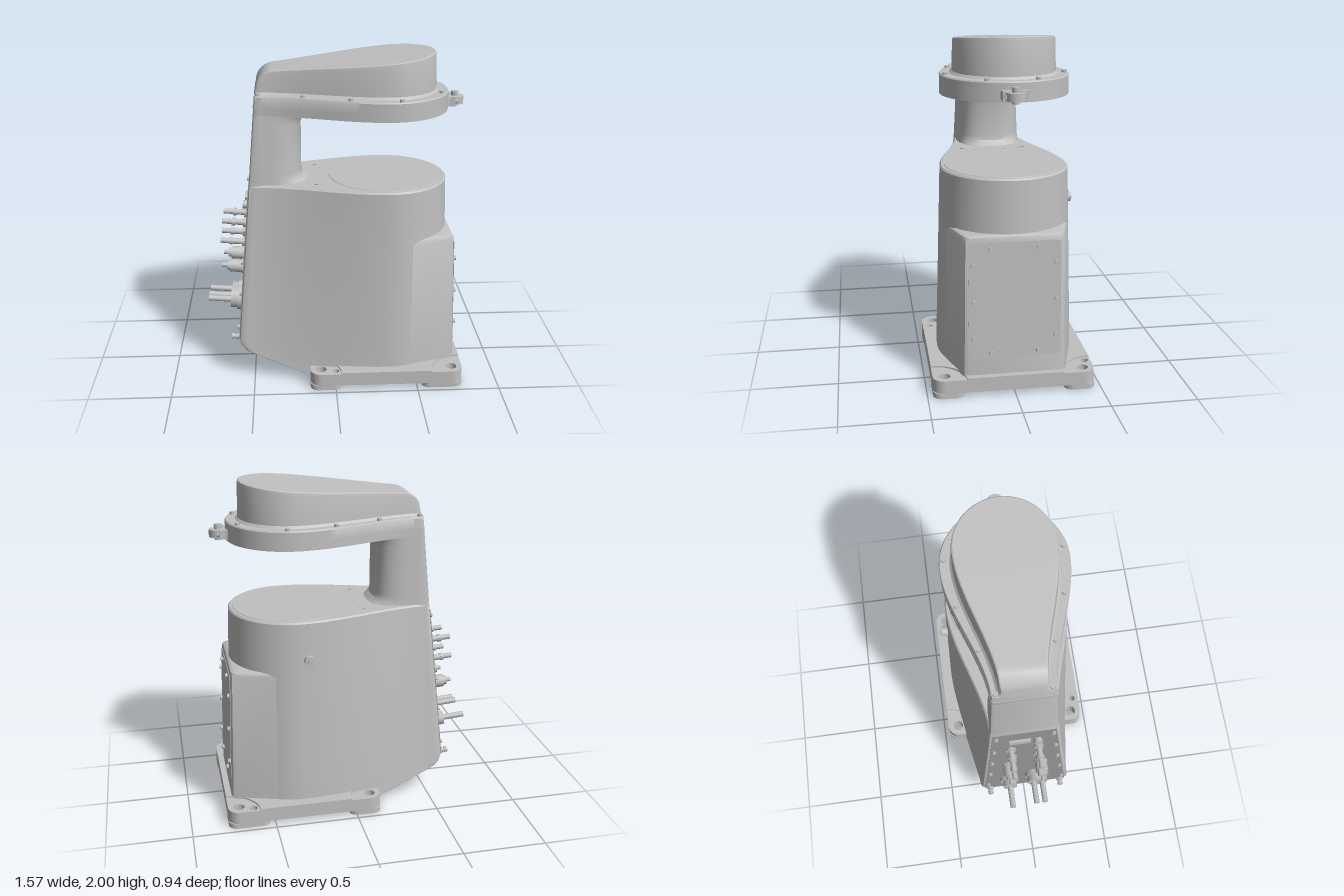
import * as THREE from 'three';
import { toCreasedNormals } from 'three/addons/utils/BufferGeometryUtils.js';

const grey = new THREE.MeshStandardMaterial({ color: 0xc0c0c0 });
grey.name = 'body grey';
const darkGrey = new THREE.MeshStandardMaterial({ color: 0x969696 });
darkGrey.name = 'panel grey';

const CX = 0.32; // axis of the round front end
const backX = y => -0.46 - (1.77 - y) * 0.0855; // leaning back plane
const backW = y => y > 1.24 ? 0.18 + (1.77 - y) * 0.045 : 0.204 + (1.24 - y) * 0.087; // its half width
const bodyR = y => 0.408 - 0.03 * y;

function add(parent, name, geometry, x = 0, y = 0, z = 0, material = grey) {
  const m = new THREE.Mesh(geometry, material);
  m.name = name;
  m.position.set(x, y, z);
  parent.add(m);
  return m;
}

// Half teardrop: narrow tail at the back, smooth flare, round front
function teardrop(xa, xv, w, R) {
  const width = x => {
    const t = THREE.MathUtils.clamp((x - xv) / (CX - xv), 0, 1);
    return w + (R - w) * t * t * (3 - 2 * t);
  };
  const h = width(xa), half = [[xa, h - 0.02], [xa + 0.006, h - 0.006]];
  for (let i = 0; i <= 32; i++) {
    const x = xa + 0.02 + (CX - xa - 0.02) * i / 32;
    half.push([x, width(x)]);
  }
  for (let i = 1; i <= 28; i++) {
    const a = Math.PI / 2 * (1 - i / 28);
    half.push([CX + R * Math.cos(a), R * Math.sin(a)]);
  }
  return half;
}
const mirrored = half => [...half, ...half.slice(0, -1).reverse().map(([x, z]) => [x, -z])];

// Skin mirrored half sections, listed bottom to top; y is a number or a function of x
function loft(rows, crease = 0.6) {
  const pos = [], idx = [], m = rows[0].half.length, n = 2 * m - 1;
  for (const { half, y } of rows) {
    for (const [x, z] of mirrored(half)) pos.push(x, typeof y === 'function' ? y(x) : y, z);
  }
  for (let k = 0; k < rows.length - 1; k++) {
    for (let i = 0; i < n; i++) {
      const a = k * n + i, b = k * n + (i + 1) % n;
      idx.push(a, b, b + n, a, b + n, a + n);
    }
  }
  const top = (rows.length - 1) * n;
  for (let i = 0; i < m - 1; i++) {
    const j = n - 1 - i;
    idx.push(top + i, top + j - 1, top + j, i, j, j - 1);
    if (i + 1 < j - 1) idx.push(top + i, top + i + 1, top + j - 1, i, j - 1, i + 1);
  }
  const g = new THREE.BufferGeometry();
  g.setAttribute('position', new THREE.Float32BufferAttribute(pos, 3));
  g.setIndex(idx);
  return toCreasedNormals(g, crease);
}

// Flat shape in x/z, extruded upwards from its local y = 0
function slab(shape, depth) {
  return new THREE.ExtrudeGeometry(shape, { depth, bevelEnabled: false, curveSegments: 16 }).rotateX(-Math.PI / 2);
}
const hole = (x, z, r) => new THREE.Path().absarc(x, -z, r, 0, Math.PI * 2, true);
function roundRect(x0, x1, y0, y1, r) {
  const s = new THREE.Shape();
  s.absarc(x1 - r, y1 - r, r, 0, Math.PI / 2);
  s.absarc(x0 + r, y1 - r, r, Math.PI / 2, Math.PI);
  s.absarc(x0 + r, y0 + r, r, Math.PI, Math.PI * 1.5);
  s.absarc(x1 - r, y0 + r, r, Math.PI * 1.5, Math.PI * 2);
  return s;
}
const screwGeo = new THREE.CylinderGeometry(0.015, 0.016, 0.02, 6);

function addBase(root) {
  const base = new THREE.Group();
  base.name = 'base';
  const boltHoles = [[-0.09, -0.4], [-0.09, 0.4], [0.715, -0.4], [0.715, 0.4]];
  const small = [hole(0, 0.425, 0.02), hole(0.63, -0.43, 0.025)];
  const plate = roundRect(-0.155, 0.78, -0.468, 0.468, 0.07);
  plate.holes.push(...boltHoles.map(([x, z]) => hole(x, z, 0.033)), ...small);
  add(base, 'basePlate', slab(plate, 0.077), 0, 0.03, 0);
  // Raised centre, scooped out around the bolt corners
  const raised = new THREE.Shape(), q = Math.PI / 2;
  [[0.78, 0.468, 3], [-0.155, 0.468, 4], [-0.155, -0.468, 1], [0.78, -0.468, 2]].forEach(([x, y, k]) =>
    raised.absarc(x, y, 0.19, k * q, (k - 1) * q, true));
  add(base, 'raisedCentre', slab(raised, 0.009), 0, 0.107, 0);
  for (const [x, z] of boltHoles) {
    const [x0, x1] = x < 0 ? [-0.155, 0.04] : [0.53, 0.78];
    const [y0, y1] = z < 0 ? [0.29, 0.468] : [-0.468, -0.29];
    const foot = roundRect(x0, x1, y0, y1, 0.05);
    foot.holes.push(hole(x, z, 0.033));
    if (x < 0 && z > 0) foot.holes.push(small[0]);
    if (x > 0 && z < 0) foot.holes.push(small[1]);
    add(base, 'foot', slab(foot, 0.03));
  }
  add(base, 'bottomCover', new THREE.CylinderGeometry(0.41, 0.41, 0.008, 64), 0.28, 0.028, 0);
  for (let i = 0; i < 8; i++) {
    const t = (i + 0.5) * Math.PI / 4;
    add(base, 'bottomScrew', screwGeo, 0.28 + 0.385 * Math.cos(t), 0.02, 0.385 * Math.sin(t));
  }
  root.add(base);
}

function addBody(root) {
  // Tapered housing with an undercut tail
  const levels = [[0.04, -0.17], [0.17, -0.51], [0.19, -0.55], [0.22, -0.577], [0.26], [0.6], [0.92], [1.23], [1.24]];
  add(root, 'housing', loft(levels.map(([y, xa = backX(y)]) => {
    const inset = y === 1.24 ? 0.008 : 0;
    return { y, half: teardrop(xa, backX(y), backW(y) - inset, bodyR(y) - inset) };
  })));
  // Flat-faced front box, its sides tangent to the round housing
  add(root, 'frontBox', loft([[0.05, 0], [0.905, 0], [0.922, 0.006], [0.93, 0.018]].map(([y, inset]) => {
    const xf = 0.747 - 0.03 * y - inset, h = 0.298 - 0.018 * y - inset;
    const hA = Math.sqrt(bodyR(y) ** 2 - 0.0169) - 0.001 - inset;
    return { y, half: [[0.44, 0.1], [0.45, hA], [xf - 0.035, h + 0.005], [xf - 0.01, h - 0.008], [xf, h - 0.03], [xf, 0]] };
  })));
  add(root, 'topDisc', new THREE.CylinderGeometry(0.343, 0.346, 0.006, 64), CX, 1.24, 0);
  add(root, 'topSeam', new THREE.BoxGeometry(0.006, 0.004, 0.4), -0.07, 1.239, 0);
  for (const s of [-1, 1]) add(root, 'topScrew', screwGeo, -0.1, 1.235, s * 0.19);
  const boss = add(root, 'sideBoss', new THREE.CylinderGeometry(0.03, 0.03, 0.06, 24), 0.27, 1.01, -0.38);
  boss.rotation.x = Math.PI / 2;
  const cap = add(root, 'sideBossCap', new THREE.CylinderGeometry(0.015, 0.015, 0.01, 6), 0.27, 1.01, -0.412);
  cap.rotation.x = Math.PI / 2;

  // Front access panel
  const panel = new THREE.Group();
  panel.name = 'frontPanel';
  panel.position.set(0.747 - 0.03 * 0.55, 0.55, 0);
  panel.rotation.set(0, Math.PI / 2, 0.03, 'ZYX');
  const cover = new THREE.ExtrudeGeometry(roundRect(-0.262, 0.262, -0.335, 0.345, 0.025), { depth: 0.003, bevelEnabled: false });
  add(panel, 'frontPanelCover', cover);
  for (const s of [-1, 1]) for (const [z, y] of [[0.135, 0.305], [0.235, 0.215], [0.235, 0], [0.235, -0.215], [0.135, -0.305]]) {
    add(panel, 'panelScrew', screwGeo, s * z, y, 0.008).rotation.x = Math.PI / 2;
  }
  root.add(panel);
}

function addArm(root) {
  // Column with rounded front, flared into body and arm
  const rows = [[1.23, 0.05], [1.25, 0.025], [1.27, 0.005], [1.3, 0], [1.59, 0], [1.62, 0.01], [1.645, 0.03], [1.67, 0.07]];
  add(root, 'column', loft(rows.map(([y, f]) => {
    const xb = backX(y), w = backW(y), half = [[xb, w - 0.02], [xb + 0.006, w - 0.006], [xb + 0.02, w]];
    for (let i = 0; i <= 20; i++) {
      const a = Math.PI / 2 * (1 - i / 20), e = 0.72;
      const c = Math.max(0, Math.cos(a)), s = Math.max(0, Math.sin(a));
      half.push([-0.43 + (0.24 + f) * c ** e, (w - 0.004) * s ** e]);
    }
    return { y, half };
  })));
  // Arm slab with a round recess underneath
  add(root, 'armSlab', loft([1.71, 1.765, 1.772].map(y => {
    const inset = y > 1.77 ? 0.005 : 0;
    return { y, half: teardrop(backX(y), backX(y), backW(y) - inset, 0.367 - inset) };
  })));
  const outline = mirrored(teardrop(backX(1.685), backX(1.685), backW(1.685), 0.367));
  const lower = new THREE.Shape(outline.map(([x, z]) => new THREE.Vector2(x, z)));
  lower.holes.push(hole(CX, 0, 0.255));
  add(root, 'armUnderside', toCreasedNormals(slab(lower, 0.052), 0.6), 0, 1.659, 0);

  // Sloping cover
  const topY = x => x > -0.34 ? 1.912 + 0.0936 * (x + 0.34)
    : 1.79 + 0.122 * Math.sqrt(Math.max(0, 1 - ((-0.34 - x) / 0.118) ** 2));
  const below = d => x => Math.max(1.786, topY(x) - d);
  const coverRows = [[1.77, 0.015], [1.786, 0], [below(0.02), -0.005], [below(0.005), -0.008], [below(0), -0.015]];
  add(root, 'armCover', loft(coverRows.map(([y, o]) =>
    ({ y, half: teardrop(-0.458 - Math.min(o, 0), -0.46, 0.135 + o, 0.294 + o) })), 0.5));
  for (const s of [-1, 1]) for (const [x, z] of [[-0.44, 0.153], [-0.18, 0.21], [0.09, 0.3], [0.375, 0.338], [0.63, 0.14]]) {
    add(root, 'coverScrew', screwGeo, x, 1.776, s * z);
  }

  // Lug with eye and bolts
  const lug = new THREE.Shape();
  lug.moveTo(0.64, -0.09);
  lug.lineTo(0.745, -0.05);
  lug.absarc(0.73, 0, 0.053, -1.28, 1.28, false);
  lug.lineTo(0.64, 0.09);
  lug.holes.push(hole(0.73, 0, 0.018));
  add(root, 'lug', slab(lug, 0.045), 0, 1.677, 0);
  add(root, 'lugPin', new THREE.CylinderGeometry(0.022, 0.022, 0.09, 16), 0.73, 1.705, 0);
  for (const s of [-1, 1]) {
    add(root, 'lugBlock', new THREE.BoxGeometry(0.06, 0.055, 0.045), 0.695, 1.7, s * 0.048);
    add(root, 'lugBolt', screwGeo, 0.73, 1.7, s * 0.048).rotation.z = -Math.PI / 2;
  }
}

function addConnectors(root) {
  // Local x runs along world z, local z points out of the back
  const g = new THREE.Group();
  g.name = 'connectorPanel';
  g.position.set(backX(0.7), 0.7, 0);
  g.rotation.set(0, -Math.PI / 2, -0.0853, 'ZYX');
  const shape = new THREE.Shape([[-0.268, -0.45], [0.268, -0.45], [0.19, 0.5], [-0.19, 0.5]].map(p => new THREE.Vector2(...p)));
  add(g, 'connectorPlate', new THREE.ExtrudeGeometry(shape, { depth: 0.004, bevelEnabled: false }), 0, 0, 0, darkGrey);
  // Stepped round fitting from [radius, length, sides] steps
  const fitting = (name, x, y, steps) => {
    let z = 0;
    for (const [r, len, sides = 16] of steps) {
      add(g, name, new THREE.CylinderGeometry(r, r, len, sides), x, y - 0.7, z + len / 2).rotation.x = Math.PI / 2;
      z += len;
    }
  };
  for (const s of [-1, 1]) {
    for (const y of [1.16, 0.95, 0.75, 0.55, 0.33]) fitting('plateScrew', s * (backW(y) - 0.04), y, [[0.014, 0.018, 6]]);
    fitting('cornerFitting', s * 0.235, 0.26, [[0.022, 0.02, 6], [0.012, 0.012], [0.018, 0.018]]);
    fitting('upperPlug', s * 0.085, 0.965, [[0.032, 0.02, 6], [0.018, 0.05], [0.024, 0.02], [0.016, 0.06]]);
    fitting('middlePlug', s * 0.08, 0.835, [[0.032, 0.02, 6], [0.018, 0.06], [0.022, 0.02], [0.016, 0.055]]);
    fitting('roundSocket', s * 0.1, 0.68, [[0.045, 0.015], [0.04, 0.07], [0.03, 0.02], [0.014, 0.03]]);
  }
  fitting('smallSocket', 0.08, 1.08, [[0.025, 0.03]]);
  add(g, 'flatSocket', new THREE.BoxGeometry(0.13, 0.035, 0.02), -0.03, 0.39, 0.01);
  fitting('cableGland', -0.105, 0.42, [[0.06, 0.03], [0.05, 0.04, 6], [0.018, 0.14]]);
  fitting('cableGland', 0.075, 0.45, [[0.075, 0.03], [0.065, 0.04]]);
  for (const x of [0.05, 0.105]) fitting('cable', x, 0.45, [[0.018, 0.21]]);
  root.add(g);
}

export function createModel() {
  const root = new THREE.Group();
  root.name = 'machine';
  addBase(root);
  addBody(root);
  addArm(root);
  addConnectors(root);
  return root;
}
